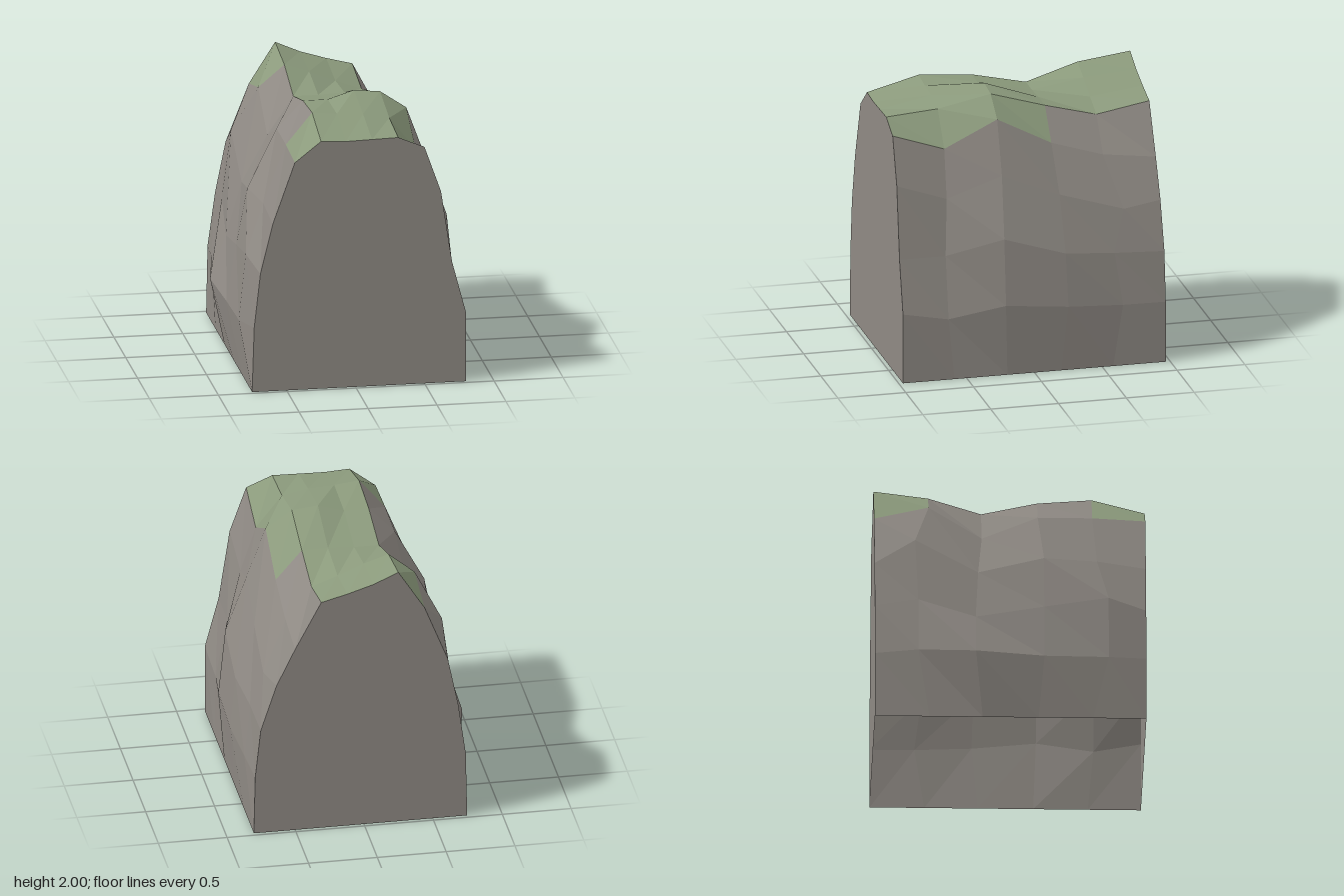
import * as THREE from 'three';

// Cross-sections run from front to back
const DEPTHS = [0.97, 0.59, 0.2, -0.2, -0.58, -0.97];
const CREST_X = [-0.44, -0.25, -0.07, 0.12, 0.31, 0.5];
const CREST_Y = [
  [1.70, 1.85, 1.84, 1.845, 1.85, 1.77],
  [1.72, 1.95, 1.93, 1.92, 1.88, 1.64],
  [1.72, 1.92, 1.92, 1.98, 1.96, 1.83],
  [1.55, 1.83, 1.83, 1.84, 1.84, 1.62],
  [1.79, 1.95, 1.89, 1.81, 1.74, 1.50],
  [1.70, 2.00, 1.92, 1.86, 1.81, 1.45],
];
// Flank points [x, y, z], lowest first, one row per cross-section
const FLANK_NEG = [
  [[-0.735, 0.48, 0.97], [-0.69, 0.88, 0.97], [-0.60, 1.25, 0.97]],
  [[-0.80, 0.46, 0.70], [-0.75, 0.95, 0.70], [-0.61, 1.30, 0.62]],
  [[-0.81, 0.46, 0.24], [-0.74, 0.88, 0.24], [-0.66, 1.30, 0.24]],
  [[-0.845, 0.48, -0.25], [-0.73, 0.80, -0.25], [-0.62, 1.20, -0.23]],
  [[-0.765, 0.52, -0.66], [-0.69, 0.95, -0.66], [-0.62, 1.45, -0.68]],
  [[-0.74, 0.50, -0.97], [-0.685, 0.90, -0.97], [-0.61, 1.27, -0.97]],
];
const FLANK_POS = [
  [[0.80, 0.52, 0.97], [0.70, 0.90, 0.97], [0.62, 1.43, 0.97]],
  [[0.785, 0.45, 0.63], [0.70, 0.90, 0.63], [0.61, 1.30, 0.60]],
  [[0.84, 0.535, 0.22], [0.79, 1.02, 0.22], [0.64, 1.45, 0.20]],
  [[0.84, 0.49, -0.24], [0.80, 0.88, -0.23], [0.66, 1.28, -0.22]],
  [[0.81, 0.46, -0.65], [0.76, 0.84, -0.60], [0.68, 1.14, -0.69]],
  [[0.79, 0.45, -0.97], [0.75, 0.82, -0.97], [0.635, 1.17, -0.97]],
];
// Crest strips covered with moss in each bay, front to back (0 is the -x strip)
const MOSS = [[0, 1, 2, 3, 4], [1, 2, 3, 4], [1, 2, 3, 4], [1, 2, 3], [0, 1, 2, 3]];
const CREST_START = 4;

const sections = DEPTHS.map((z, i) => [
  [-0.75, 0, z],
  ...FLANK_NEG[i],
  ...CREST_X.map((x, k) => [x, CREST_Y[i][k], z]),
  ...[...FLANK_POS[i]].reverse(),
  [0.8, 0, z],
]);

// Faceted mesh from the quads that pass the test
function loft(name, material, test) {
  const pos = [];
  for (let i = 0; i < sections.length - 1; i++) {
    for (let j = 0; j < sections[i].length - 1; j++) {
      if (!test(i, j)) continue;
      const a = sections[i][j], b = sections[i][j + 1];
      const c = sections[i + 1][j + 1], d = sections[i + 1][j];
      for (const p of [a, b, c, a, c, d]) pos.push(...p);
    }
  }
  const geo = new THREE.BufferGeometry();
  geo.setAttribute('position', new THREE.Float32BufferAttribute(pos, 3));
  geo.computeVertexNormals();
  const mesh = new THREE.Mesh(geo, material);
  mesh.name = name;
  return mesh;
}

// Flat end wall that closes a cross-section
function endWall(name, material, section, back) {
  const shape = new THREE.Shape(section.map(([x, y]) => new THREE.Vector2(back ? -x : x, y)));
  const mesh = new THREE.Mesh(new THREE.ShapeGeometry(shape), material);
  mesh.position.z = section[0][2];
  if (back) mesh.rotation.y = Math.PI;
  mesh.name = name;
  return mesh;
}

export function createModel() {
  const stone = new THREE.MeshStandardMaterial({ color: 0x8f8a84, side: THREE.DoubleSide, flatShading: true });
  stone.name = 'stone';
  const moss = new THREE.MeshStandardMaterial({ color: 0x8b9a7c, side: THREE.DoubleSide, flatShading: true });
  moss.name = 'moss';

  const isMoss = (i, j) => MOSS[i].includes(j - CREST_START);
  const model = new THREE.Group();
  model.name = 'rockSegment';
  // The underside stays open
  model.add(
    loft('rockSides', stone, (i, j) => !isMoss(i, j)),
    loft('mossTop', moss, isMoss),
    endWall('frontWall', stone, sections[0], false),
    endWall('backWall', stone, sections[sections.length - 1], true),
  );
  return model;
}
